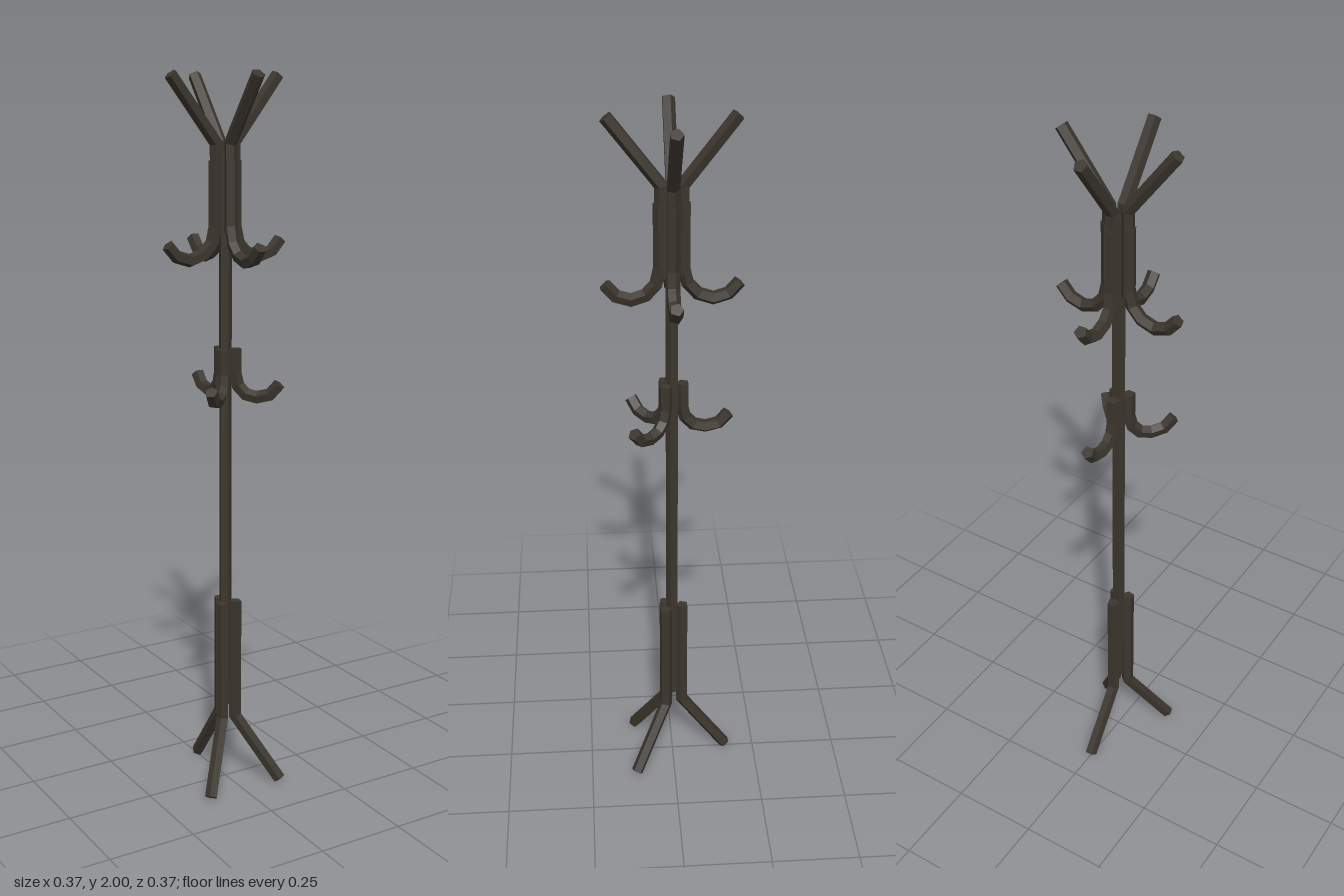
import * as THREE from 'three';

const SIDES = 5, R = 0.018;

// Sweeps a pentagon along an upright (radius, height) path, mitred at each bend.
function bentRod(path, phase) {
  const pts = path.map(([x, y]) => new THREE.Vector2(x, y));
  const last = pts.length - 1;
  const dir = i => pts[i + 1].clone().sub(pts[i]).normalize();
  const rings = pts.map((p, i) => {
    const a = dir(Math.max(i - 1, 0)), b = dir(Math.min(i, last - 1));
    const t = a.clone().add(b).normalize();
    const mitre = 1 / t.dot(a);
    return Array.from({ length: SIDES }, (_, k) => {
      const ang = phase + (k / SIDES) * Math.PI * 2;
      const n = Math.cos(ang) * R * mitre;
      return [p.x + t.y * n, p.y - t.x * n, Math.sin(ang) * R];
    });
  });
  const pos = [];
  const tri = (a, b, c) => pos.push(...a, ...b, ...c);
  for (let i = 0; i < last; i++) {
    for (let k = 0; k < SIDES; k++) {
      const j = (k + 1) % SIDES, lo = rings[i], hi = rings[i + 1];
      tri(lo[k], hi[k], lo[j]);
      tri(lo[j], hi[k], hi[j]);
    }
  }
  // End caps
  for (let k = 1; k < SIDES - 1; k++) {
    tri(rings[0][0], rings[0][k], rings[0][k + 1]);
    tri(rings[last][0], rings[last][k + 1], rings[last][k]);
  }
  const g = new THREE.BufferGeometry();
  g.setAttribute('position', new THREE.Float32BufferAttribute(pos, 3));
  g.computeVertexNormals();
  return g;
}

export function createModel() {
  const model = new THREE.Group();
  model.name = 'coatRack';
  const darkWood = new THREE.MeshStandardMaterial({ color: 0x3b352d, flatShading: true });
  darkWood.name = 'darkWood';

  const add = (name, geometry, turn = 0) => {
    const mesh = new THREE.Mesh(geometry, darkWood);
    mesh.name = name;
    mesh.rotation.y = turn;
    model.add(mesh);
    return mesh;
  };

  // Central pole
  add('pole', new THREE.CylinderGeometry(R, R, 1.56, SIDES)).position.y = 1.01;

  const arm = [[0.027, 1.58], [0.027, 1.815], [0.162, 1.989]];
  const topHook = [[0.174, 1.556], [0.146, 1.524], [0.107, 1.512], [0.068, 1.525],
    [0.041, 1.555], [0.031, 1.6], [0.031, 1.77]];
  const lowHook = [[0.152, 1.176], [0.126, 1.146], [0.09, 1.137], [0.058, 1.144],
    [0.036, 1.167], [0.028, 1.2], [0.028, 1.27]];
  const leg = [[0.162, 0.011], [0.029, 0.195], [0.029, 0.545]];

  const H = Math.PI / 2;
  // Four upper arms, each with a hook below
  [['Left', 0, -H], ['Right', Math.PI, H], ['Front', -H, 0], ['Back', H, Math.PI]]
    .forEach(([side, turn, phase]) => {
      add('upperArm' + side, bentRod(arm, phase), turn);
      add('upperHook' + side, bentRod(topHook, phase), turn);
    });

  // Three lower hooks above three splayed legs
  [['FrontLeft', -H / 2, 0], ['FrontRight', -H * 1.5, 0], ['Back', H, Math.PI]]
    .forEach(([side, turn, phase]) => {
      add('lowerHook' + side, bentRod(lowHook, phase), turn);
      add('leg' + side, bentRod(leg, phase), turn);
    });

  return model;
}
